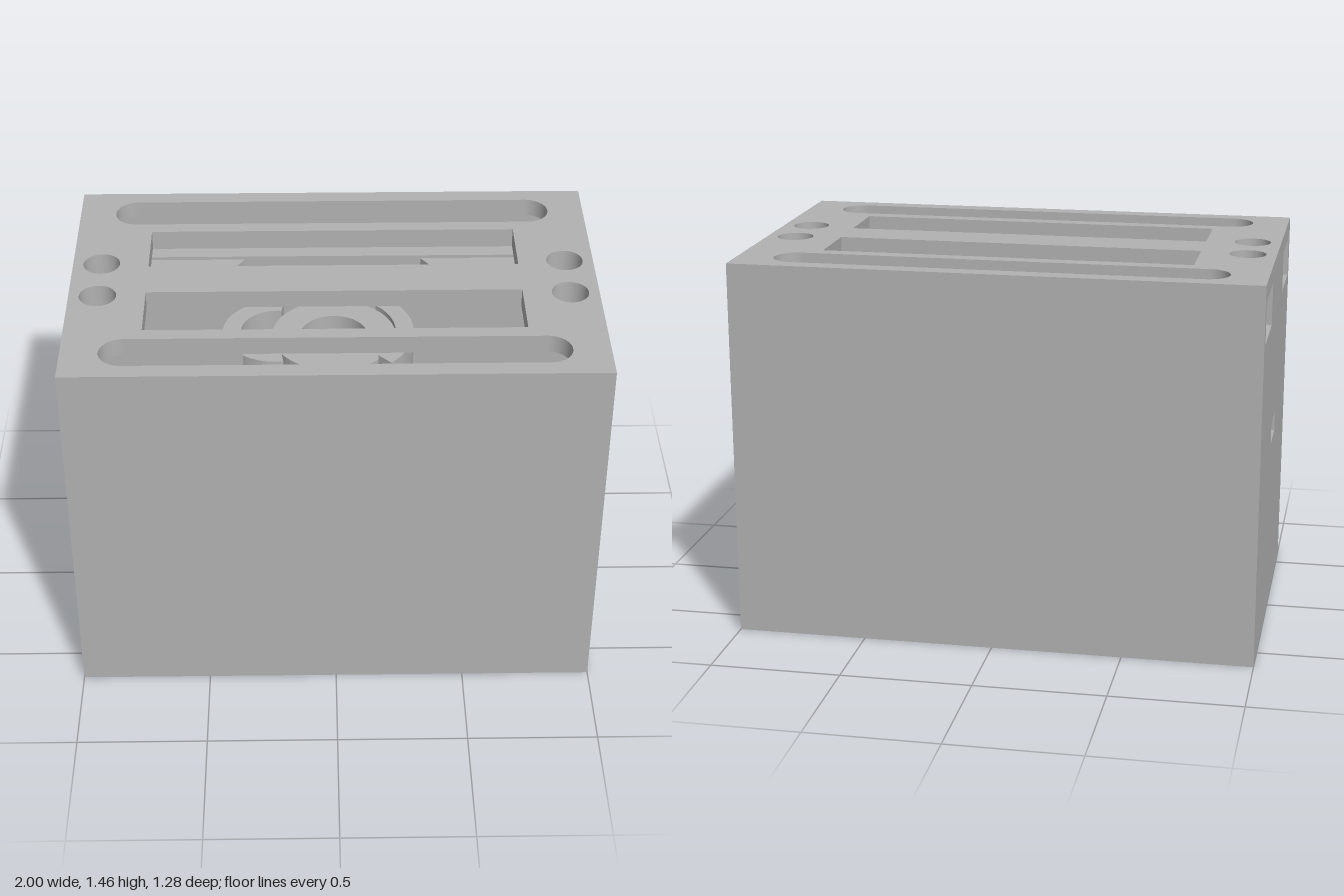
import * as THREE from 'three';

const W = 1, D = 0.64, H = 1.46;      // half width, half depth, height
const IX = 0.885, IZ = 0.525;         // inner half sizes
const FLOOR = 0.1, LEDGE = 1.23, LID = 1.39, DECK = 0.72;

const grey = new THREE.MeshStandardMaterial({ color: 0xb2b2b2 });
grey.name = 'grey';

const poly = (pts) => new THREE.Shape(pts.map(([x, y]) => new THREE.Vector2(x, y)));
const rect = (x0, y0, x1, y1) => poly([[x0, y0], [x1, y0], [x1, y1], [x0, y1]]);
const disc = (x, y, r) => new THREE.Shape().absarc(x, y, r, 0, Math.PI * 2, false);

// rounded-end slot along x
function slot(z, half, r) {
  const s = new THREE.Shape();
  s.absarc(half - r, z, r, -Math.PI / 2, Math.PI / 2, false);
  s.absarc(-half + r, z, r, Math.PI / 2, Math.PI * 1.5, false);
  s.closePath();
  return s;
}

// curved wall section
function arcWall(x, r0, r1, a0, a1) {
  const s = new THREE.Shape();
  s.absarc(x, 0, r1, a0, a1, false);
  s.absarc(x, 0, r0, a1, a0, true);
  s.closePath();
  return s;
}

export function createModel() {
  const group = new THREE.Group();
  const add = (name, geo) => {
    const m = new THREE.Mesh(geo, grey);
    m.name = name;
    group.add(m);
    return m;
  };
  const extrude = (shape, depth) =>
    new THREE.ExtrudeGeometry(shape, { depth, bevelEnabled: false, curveSegments: 32 });
  // horizontal slab: shape drawn in x and -z, lifted from y0 to y1
  const slab = (name, shape, y0, y1, holes = []) => {
    shape.holes.push(...holes);
    return add(name, extrude(shape, y1 - y0).rotateX(-Math.PI / 2).translate(0, y0, 0));
  };
  const box = (name, x0, x1, y0, y1, z0, z1) => add(name,
    new THREE.BoxGeometry(x1 - x0, y1 - y0, z1 - z0)
      .translate((x0 + x1) / 2, (y0 + y1) / 2, (z0 + z1) / 2));

  // lid with hand slots, inner slots and round pits
  const lidHoles = [];
  for (const s of [-1, 1]) {
    lidHoles.push(slot(s * 0.487, 0.86, 0.085));
    lidHoles.push(rect(-0.71, s > 0 ? 0.09 : -0.345, 0.71, s > 0 ? 0.345 : -0.09));
    for (const t of [-1, 1]) lidHoles.push(disc(s * 0.89, t * 0.112, 0.07));
  }
  slab('lid', rect(-W, -D, W, D), LID, H, lidHoles);

  // base with centre bore, screw holes and a row of small vents
  const baseHoles = [disc(0, 0, 0.127)];
  for (const s of [-1, 1]) {
    baseHoles.push(disc(s * 0.735, 0, 0.066));
    for (let k = 0; k < 6; k++) baseHoles.push(disc(s * (0.143 + 0.0735 * k), 0, 0.02));
  }
  slab('base', rect(-W, -D, W, D), 0, FLOOR, baseHoles);

  // long walls, stepped thinner beside the handle tunnels
  for (const s of [-1, 1]) {
    const profile = poly([[-D, FLOOR], [-IZ, FLOOR], [-IZ, LEDGE], [-0.59, LEDGE],
      [-0.59, LID], [-D, LID]]);
    const wall = add('longWall', extrude(profile, 2 * W).rotateY(Math.PI / 2).translate(-W, 0, 0));
    if (s < 0) wall.rotation.y = Math.PI;
  }

  for (const s of [-1, 1]) {
    // end wall with cable port
    const end = rect(-IZ, FLOOR, IZ, LEDGE);
    end.holes.push(rect(-0.095, 0.708, 0.095, 0.787));
    add('endWall', extrude(end, W - IX).rotateY(Math.PI / 2).translate(s > 0 ? IX : -W, 0, 0));

    // block between the handle openings, with stepped pits
    const x0 = s > 0 ? 0.8 : -W, x1 = s > 0 ? W : -0.8;
    const pits = (r) => [-1, 1].map((t) => disc(s * 0.89, t * 0.112, r));
    slab('pitBlockUpper', rect(x0, -0.28, x1, 0.28), 1.31, LID, pits(0.07));
    slab('pitBlockLower', rect(x0, -0.28, x1, 0.28), LEDGE, 1.31, pits(0.05));
    box('pitFloor', s > 0 ? 0.8 : -IX, s > 0 ? IX : -0.8, 1.2, LEDGE, -0.28, 0.28);

    // inner long partition
    box('partition', -IX, IX, DECK, LEDGE, s > 0 ? 0.333 : -0.4, s > 0 ? 0.4 : -0.333);

    // slanted-end rails under the lid
    for (const t of [-1, 1]) {
      const pts = [[0.38, 0.228], [0.8, 0.228], [0.8, 0.28], [0.345, 0.28]];
      slab('rail', poly(pts.map(([x, z]) => [s * x, t * z])), 1.2, 1.37);
    }
  }

  // inner deck and the round housing on it
  slab('deck', rect(-IX, -IZ, IX, IZ), 0.66, DECK);
  slab('hub', disc(0, 0, 0.24), DECK, 1.2, [disc(0, 0, 0.13)]);
  slab('rightCollar', arcWall(0, 0.24, 0.31, -0.8, 0.8), DECK, 1.22);
  slab('leftCollar', arcWall(-0.22, 0.14, 0.21, 1.45, Math.PI * 2 - 1.45), DECK, 1.22);

  return group;
}
